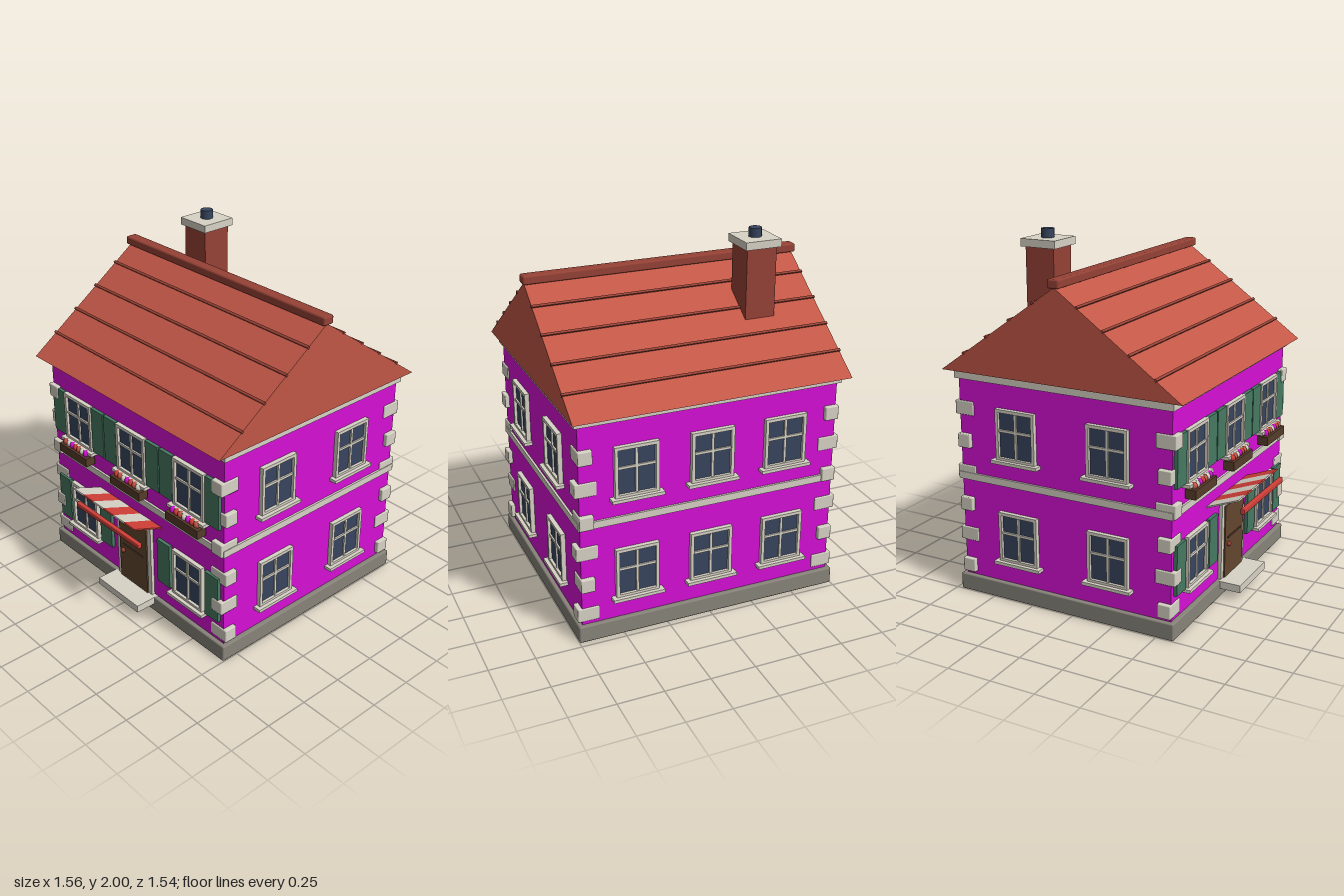
import * as THREE from 'three';
import { RoundedBoxGeometry } from 'three/addons/geometries/RoundedBoxGeometry.js';

const CZ = -0.06; // centre of the house in z
const mat = (name, color) => {
  const m = new THREE.MeshStandardMaterial({ color });
  m.name = name;
  return m;
};

export function createModel() {
  const wall = mat('wall magenta', 0xd60fd6);
  const cream = mat('cream stone', 0xd8d3c6);
  const stone = mat('grey plinth', 0x88847a);
  const roofRed = mat('roof red', 0xc25747);
  const tileRed = mat('dark brick red', 0x964236);
  const navy = mat('navy glass', 0x38455f);
  const green = mat('shutter green', 0x467a62);
  const brown = mat('door brown', 0x644630);
  const darkBrown = mat('planter brown', 0x563c2a);
  const awningRed = mat('awning red', 0xd23f38);

  const house = new THREE.Group();
  house.name = 'house';

  const add = (name, geo, m, parent = house) => {
    const mesh = new THREE.Mesh(geo, m);
    mesh.name = name;
    parent.add(mesh);
    return mesh;
  };
  // Box given by its minimum and maximum corners, with optional rounded edges
  const box = (name, m, [x0, y0, z0], [x1, y1, z1], parent = house, r = 0) => {
    const s = [x1 - x0, y1 - y0, z1 - z0];
    const geo = r ? new RoundedBoxGeometry(...s, 1, r) : new THREE.BoxGeometry(...s);
    const mesh = add(name, geo, m, parent);
    mesh.position.set((x0 + x1) / 2, (y0 + y1) / 2, (z0 + z1) / 2);
    return mesh;
  };
  // Slab centred on the house axis
  const slab = (name, m, hx, y0, y1, hz, r = 0) =>
    box(name, m, [-hx, y0, CZ - hz], [hx, y1, CZ + hz], house, r);

  // Masonry
  slab('plinth', stone, 0.75, 0, 0.095, 0.66, 0.008);
  slab('walls', wall, 0.725, 0.09, 1.24, 0.635);
  slab('floorBand', cream, 0.737, 0.655, 0.695, 0.647);
  slab('cornice', cream, 0.745, 1.223, 1.268, 0.65);

  // Corner stones, alternating long and short
  for (const sx of [-1, 1]) for (const sz of [-1, 1]) for (let i = 0; i < 6; i++) {
    const long = i % 2 === 0; // long along x
    const [xa, xb, za, zb] = long ? [0.63, 0.75, 0.565, 0.642] : [0.655, 0.733, 0.545, 0.66];
    const y = 0.153 + i * 0.181;
    const q = add('cornerStone', new RoundedBoxGeometry(xb - xa, 0.078, zb - za, 1, 0.006), cream);
    q.position.set(sx * (xa + xb) / 2, y, CZ + sz * (za + zb) / 2);
  }

  // Gable roof
  const EAVE = 1.268, APEX = 1.77, RUN = 0.71;
  const gable = new THREE.Shape();
  gable.moveTo(-RUN - CZ, EAVE);
  gable.lineTo(RUN - CZ, EAVE);
  gable.lineTo(-CZ, APEX);
  gable.closePath();
  const roofGeo = new THREE.ExtrudeGeometry(gable, { depth: 1.54, bevelEnabled: false });
  roofGeo.translate(0, 0, -0.77).rotateY(Math.PI / 2);
  add('roof', roofGeo, roofRed);
  box('ridgeCap', tileRed, [-0.782, 1.765, CZ - 0.034], [0.782, 1.813, CZ + 0.034], house, 0.01);

  // Tile courses on both slopes
  const pitch = Math.atan2(APEX - EAVE, RUN);
  for (const s of [-1, 1]) for (let i = 1; i <= 4; i++) {
    const t = i * 0.205;
    const strip = add('tileCourse', new THREE.BoxGeometry(1.548, 0.014, 0.014), tileRed);
    strip.position.set(0, EAVE + (APEX - EAVE) * t + 0.002, CZ + s * RUN * (1 - t));
    strip.rotation.x = s * pitch;
  }

  // Chimney
  box('chimneyStack', tileRed, [-0.495, 1.45, -0.4], [-0.325, 1.915, -0.23]);
  box('chimneyCap', cream, [-0.512, 1.91, -0.42], [-0.308, 1.952, -0.212]);
  add('chimneyPot', new THREE.CylinderGeometry(0.035, 0.035, 0.055, 10), navy).position.set(-0.41, 1.9725, -0.317);

  // Window facing +z in its own frame, with y at the frame's bottom
  const W = 0.12, H = 0.285;
  const frameShape = new THREE.Shape();
  frameShape.moveTo(-W, 0).lineTo(W, 0).lineTo(W, H).lineTo(-W, H).closePath();
  const opening = new THREE.Path();
  opening.moveTo(-W + 0.018, 0.018).lineTo(-W + 0.018, H - 0.018).lineTo(W - 0.018, H - 0.018).lineTo(W - 0.018, 0.018).closePath();
  frameShape.holes.push(opening);
  const frameGeo = new THREE.ExtrudeGeometry(frameShape, { depth: 0.025, bevelEnabled: false });
  const addWindow = (x, y, z, turn) => {
    const g = new THREE.Group();
    g.name = 'window';
    add('windowFrame', frameGeo, cream, g);
    box('windowGlass', navy, [-W + 0.01, 0.01, -0.01], [W - 0.01, H - 0.01, 0.009], g);
    box('glazingBarUpright', cream, [-0.007, 0.01, 0], [0.007, H - 0.01, 0.018], g);
    box('glazingBarLevel', cream, [-W + 0.01, 0.158, 0], [W - 0.01, 0.172, 0.018], g);
    box('windowSill', cream, [-0.143, -0.014, -0.01], [0.143, 0.004, 0.046], g);
    g.position.set(x, y, z);
    g.rotation.y = turn;
    house.add(g);
  };
  const FRONT = CZ + 0.635, BACK = CZ - 0.635;
  const LOW = 0.222, HIGH = 0.803;
  for (const y of [LOW, HIGH]) {
    for (const x of [-0.42, 0, 0.42]) addWindow(x, y, BACK, Math.PI);
    for (const s of [-1, 1]) for (const dz of [-0.275, 0.275])
      addWindow(s * 0.725, y, CZ + dz, s * Math.PI / 2);
  }

  // Front windows with shutters
  const shutter = (x, y) =>
    box('shutter', green, [x - 0.052, y + 0.008, FRONT - 0.005], [x + 0.052, y + H - 0.002, FRONT + 0.02]);
  for (const x of [-0.473, 0, 0.473]) {
    addWindow(x, HIGH, FRONT, 0);
    for (const s of [-1, 1]) shutter(x + s * 0.18, HIGH);
  }
  for (const s of [-1, 1]) {
    addWindow(s * 0.455, LOW, FRONT, 0);
    shutter(s * 0.648, LOW);
    shutter(s * 0.258, LOW);
  }

  // Flower boxes
  const blooms = [roofRed, awningRed, wall, cream];
  const bloomGeo = new THREE.SphereGeometry(0.02, 10, 8);
  [-0.473, 0, 0.473].forEach((x, k) => {
    box('flowerBox', darkBrown, [x - 0.127, 0.727, 0.585], [x + 0.127, 0.778, 0.645]);
    for (let i = 0; i < 7; i++)
      add('flower', bloomGeo, blooms[(i * 3 + k) % 4]).position.set(x + (i - 3) * 0.031, 0.79, 0.617);
  });

  // Door and step
  box('doorSurround', cream, [-0.15, 0.09, 0.56], [0.15, 0.555, 0.594]);
  box('door', brown, [-0.12, 0.095, 0.57], [0.12, 0.515, 0.602]);
  box('letterSlot', darkBrown, [-0.088, 0.319, 0.6], [0.088, 0.329, 0.606]);
  add('doorKnob', new THREE.SphereGeometry(0.014, 12, 8), tileRed).position.set(-0.084, 0.285, 0.608);
  box('doorStep', cream, [-0.176, 0.052, 0.57], [0.176, 0.095, 0.72]);

  // Striped awning, rising away from the wall
  const rise = 0.07, reach = 0.182;
  for (let i = 0; i < 6; i++) {
    const stripe = add('awningStripe', new THREE.BoxGeometry(0.0908, 0.008, Math.hypot(rise, reach)), i % 2 ? awningRed : cream);
    stripe.position.set(-0.273 + i * 0.0908, 0.612, 0.667);
    stripe.rotation.x = -Math.atan2(rise, reach);
  }
  box('awningBar', awningRed, [-0.276, 0.556, 0.75], [0.276, 0.586, 0.774], house, 0.005);

  return house;
}
